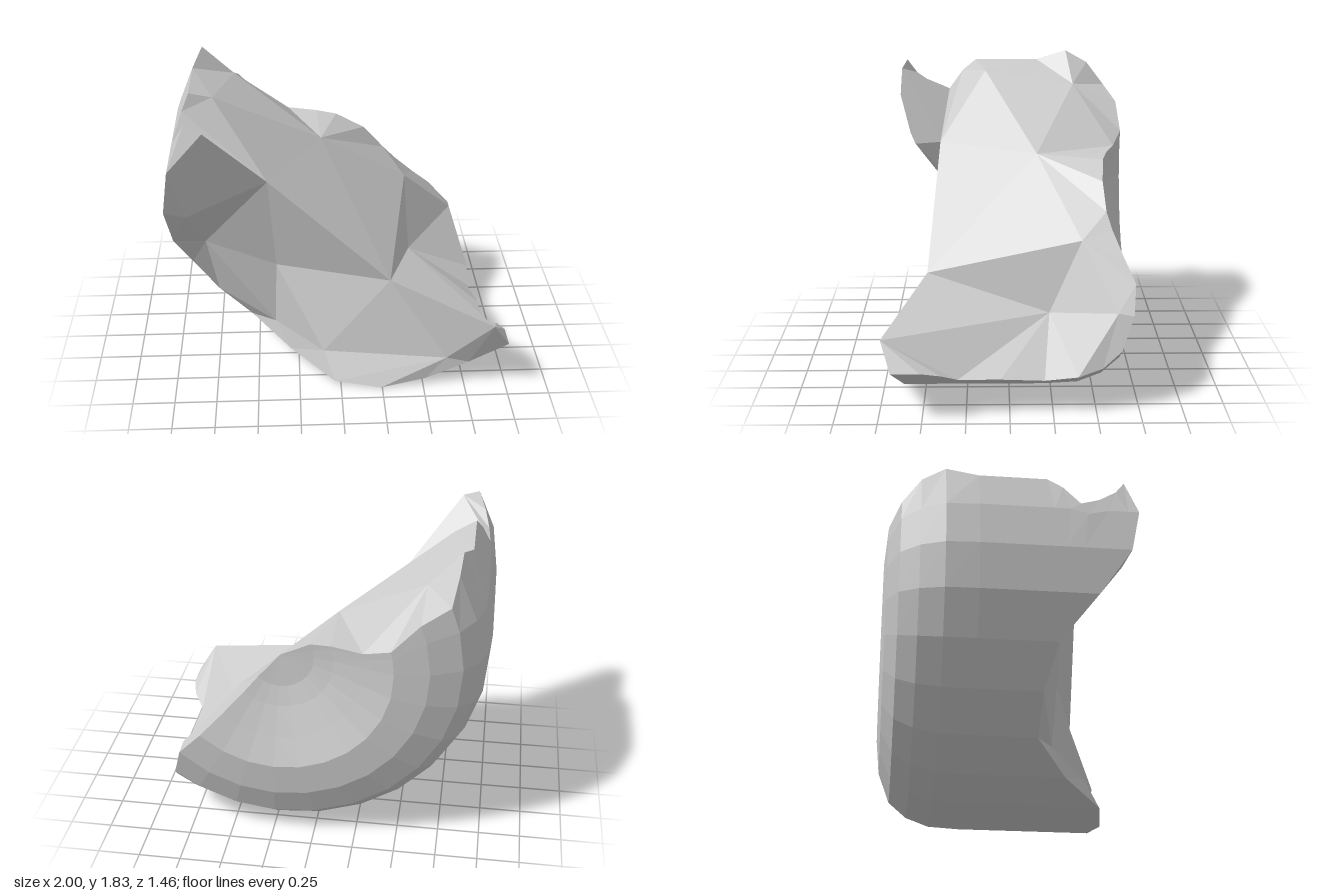
import * as THREE from 'three';

const CX = 0.2, CY = 1.2; // axis of the round outer wall, parallel to z

// Outer wall rows, from the dished end cap to the broken front:
// [radius, z, left break angle, right break angle]
const ROWS = [
  [0, -0.565, 160, 315], [0.2, -0.58, 153, 311], [0.32, -0.61, 161, 311], [0.5, -0.67, 168, 312],
  [0.67, -0.73, 166, 313], [0.87, -0.71, 158, 313], [1.05, -0.64, 157, 308],
  [1.14, -0.53, 151, 306], [1.19, -0.39, 148, 306], [1.2, -0.2, 152, 304],
  [1.2, 0.29, 152, 306], [1.2, 0.47, 152, 306], [1.2, 0.57, 156, 306], [1.2, 0.68, 163, 310],
  [1.2, 0.81, 161, 312], [1.2, 0.93, 157, 312], [1.2, 1, 152, 312],
];
const CAP = 9; // rows after this one give z as a share of the way to the front edge
// z of the jagged front edge, left to right
const FRONT = [0.66, 0.72, 0.66, 0.47, 0.25, 0.18, 0.17, 0.36, 0.6, 0.65, 0.62, 0.61, 0.67];
const COLS = FRONT.length - 1, LAST = ROWS.length - 1;

function wallPoint(i, j) {
  const [r, z, left, right] = ROWS[i];
  let angle = THREE.MathUtils.clamp(152 + (160 * j) / COLS, left + 4, right - 4);
  if (j === 0) angle = left;
  if (j === COLS) angle = right;
  const a = THREE.MathUtils.degToRad(angle);
  const depth = i > CAP ? THREE.MathUtils.lerp(ROWS[CAP][1], FRONT[j], z) : z;
  return [CX + r * Math.cos(a), CY + r * Math.sin(a), depth];
}

function facetedMesh(name, triangles) {
  const geometry = new THREE.BufferGeometry();
  geometry.setAttribute('position', new THREE.Float32BufferAttribute(triangles.flat(2), 3));
  geometry.computeVertexNormals();
  const mesh = new THREE.Mesh(geometry,
    new THREE.MeshStandardMaterial({ color: 0xcccccc, flatShading: true }));
  mesh.name = name;
  return mesh;
}

// Round wall and dished end cap
function outerWall() {
  const tris = [];
  for (let i = 0; i < LAST; i++) {
    for (let j = 0; j < COLS; j++) {
      const a = wallPoint(i, j), b = wallPoint(i, j + 1);
      const c = wallPoint(i + 1, j), d = wallPoint(i + 1, j + 1);
      if (i > 0) tris.push([a, b, c]);
      tris.push([b, d, c]);
    }
  }
  return facetedMesh('outerWall', tris);
}

// Rough broken face closing the wall's rim
function brokenFace() {
  const rim = [];
  for (let i = 0; i <= LAST; i++) rim.push(wallPoint(i, 0));
  for (let j = 1; j < COLS; j++) rim.push(wallPoint(LAST, j));
  for (let i = LAST; i > 0; i--) rim.push(wallPoint(i, COLS));

  // Corners of the large fracture facets
  const p = {
    G: [-0.09, 1.3, -0.18], I: [-0.62, 1.64, -0.43], J: [-0.73, 1.71, 0.14],
    A: [-0.42, 1.3, 0.43], P: [-0.76, 1.72, 0.69], K: [-0.88, 1.18, 0.62],
    M: [-0.8, 0.84, 0.28], N: [-0.39, 0.26, 0.27], O: [-0.1, 0.18, 0.5],
    Q: [0.64, 0.18, 0.61], F: [0.9, 0.47, 0.73], D: [0.48, 0.47, -0.24],
    E: [0.79, 0.58, -0.62], H: [0.46, 0.91, -0.43], B: [0.3, 0.66, 0.49],
    C: [-0.38, 0.68, 0.3],
  };
  // Each corner fans out to the rim up to the given rim index
  const fans = [['G', 3], ['I', 9], ['J', 12], ['A', 13], ['P', 17], ['K', 19], ['M', 21],
    ['N', 23], ['O', 24], ['Q', 27], ['F', 32], ['D', 36], ['E', 40], ['H', 43], ['G', 44]];
  const tris = [];
  let k = 0;
  fans.forEach(([key, end], n) => {
    for (; k < end; k++) tris.push([rim[k], rim[(k + 1) % rim.length], p[key]]);
    if (n < fans.length - 1) tris.push([p[key], rim[k], p[fans[n + 1][0]]]);
  });
  // Large facets between the corners
  const facets = 'GIJ GJA GAB GBH HBD DEH DBF BQF BOQ BCO CNO MNC AMC ACB AKM APK';
  for (const f of facets.split(' ')) tris.push([...f].map((key) => p[key]));
  return facetedMesh('brokenFace', tris);
}

export function createModel() {
  const group = new THREE.Group();
  group.name = 'brokenShard';
  group.add(outerWall(), brokenFace());
  return group;
}
